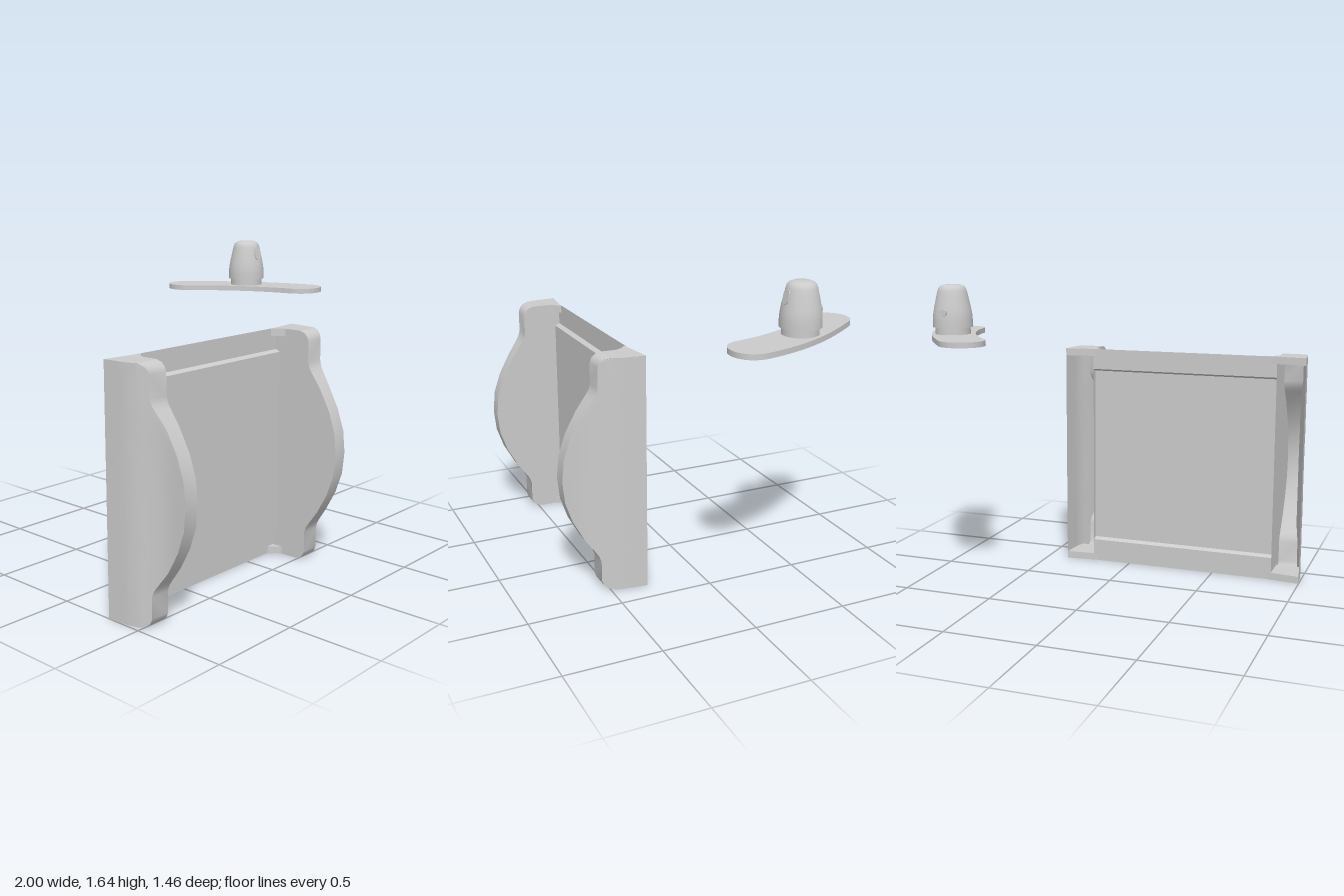
import * as THREE from 'three';
import { toCreasedNormals } from 'three/addons/utils/BufferGeometryUtils.js';

const CX = -0.31, H = 1.255;
const mat = new THREE.MeshStandardMaterial({ color: 0xcccccc });
const sheet = new THREE.MeshStandardMaterial({ color: 0xcccccc, side: THREE.DoubleSide });

// Piecewise-linear lookup in [key, value] pairs
function lerpTable(t, k) {
  for (let i = 1; i < t.length; i++) {
    if (k <= t[i][0]) {
      const [a, va] = t[i - 1], [b, vb] = t[i];
      return va + (vb - va) * Math.max(0, (k - a) / (b - a));
    }
  }
  return t[t.length - 1][1];
}

// Surface through rows of equally many points
function loft(rows) {
  const n = rows[0].length, idx = [];
  for (let i = 0; i < rows.length - 1; i++) {
    for (let j = 0; j < n - 1; j++) {
      const a = i * n + j, b = a + n;
      idx.push(a, b, a + 1, a + 1, b, b + 1);
    }
  }
  const g = new THREE.BufferGeometry();
  g.setAttribute('position', new THREE.Float32BufferAttribute(rows.flat(2), 3));
  g.setIndex(idx);
  return toCreasedNormals(g, 0.5);
}

// Flat plate in plan (shape y becomes z), from y0 up by h
function plate(shape, y0, h) {
  const g = new THREE.ExtrudeGeometry(shape, { depth: h, bevelEnabled: false, curveSegments: 16 });
  g.rotateX(Math.PI / 2).translate(0, y0 + h, 0);
  return toCreasedNormals(g, 0.5);
}

const polygon = (pts) => new THREE.Shape(pts.map(([x, y]) => new THREE.Vector2(x, y)));

// Front depth of a rail by height (lower half; the upper half mirrors it)
const depthByY = [[0, 0.48], [0.008, 0.51], [0.025, 0.53], [0.05, 0.54], [0.16, 0.54], [0.19, 0.55],
  [0.22, 0.57], [0.29, 0.62], [0.40, 0.68], [0.51, 0.718], [0.6275, 0.73]];
// Outer half-width of a rail by depth
const widthByZ = [[0.305, 0.69], [0.43, 0.677], [0.48, 0.663], [0.53, 0.64], [0.58, 0.621], [0.63, 0.61], [0.73, 0.61]];

// Hollow rail, open at the back
function rail(s) {
  const lower = depthByY;
  const upper = depthByY.slice(0, -1).reverse().map(([y, z]) => [H - y, z]);
  const rows = [...lower, ...upper].map(([y, zMax]) => {
    const row = [];
    for (let i = 0; i <= 12; i++) {
      const z = 0.305 + (zMax - 0.305) * i / 12;
      row.push([CX + s * lerpTable(widthByZ, z), y, z]);
    }
    row.push([CX + s * 0.53, y, zMax], [CX + s * 0.53, y, 0.327]);
    return row;
  });
  return loft(rows);
}

// Rail end plate with a corner tab reaching over the panel
function endCap(s, y0) {
  const pts = [[0.69, 0.305], [0.48, 0.33], [0.49, 0.345], [0.51, 0.36], [0.53, 0.39],
    [0.53, 0.48], [0.663, 0.48], [0.677, 0.43]];
  return plate(polygon(pts.map(([u, z]) => [CX + s * u, z])), y0, 0.04);
}

export function createModel() {
  const model = new THREE.Group();
  const add = (name, geo, m = mat, parent = model) => {
    const mesh = new THREE.Mesh(geo, m);
    mesh.name = name;
    parent.add(mesh);
    return mesh;
  };

  // Side rails and end caps
  for (const [side, s] of [['right', -1], ['left', 1]]) {
    add(side + 'Rail', rail(s), sheet);
    add(side + 'LowerCap', endCap(s, 0));
    add(side + 'UpperCap', endCap(s, H - 0.04));
  }

  // Pressed panel, its middle stepped forward between two crossbars
  const profile = [[0, 0.327], [0.125, 0.327], [0.137, 0.353], [1.128, 0.353], [1.14, 0.327], [H, 0.327]];
  add('panel', loft(profile.map(([y, z]) => [[CX - 0.53, y, z], [CX + 0.53, y, z]])), sheet);

  // Curved bracket plate
  const b = new THREE.Shape();
  b.moveTo(0.66, -0.675);
  b.bezierCurveTo(0.82, -0.47, 0.94, -0.29, 0.995, -0.02);
  b.bezierCurveTo(1.0, 0.06, 0.95, 0.105, 0.875, 0.105);
  b.bezierCurveTo(0.81, 0.105, 0.76, 0.06, 0.75, 0);
  b.bezierCurveTo(0.715, -0.2, 0.62, -0.38, 0.46, -0.55);
  b.bezierCurveTo(0.425, -0.61, 0.435, -0.69, 0.51, -0.725);
  b.bezierCurveTo(0.57, -0.745, 0.63, -0.72, 0.66, -0.675);
  add('bracketPlate', plate(b, 1.358, 0.028));

  // Knob on the bracket
  const knob = new THREE.Group();
  knob.name = 'knob';
  knob.position.set(0.76, 0, -0.333);
  model.add(knob);
  add('knobBase', new THREE.CylinderGeometry(0.092, 0.092, 0.05, 40).translate(0, 1.402, 0), mat, knob);
  const body = [[0, 1.422], [0.104, 1.422], [0.104, 1.46], [0.102, 1.49], [0.096, 1.525], [0.085, 1.575],
    [0.077, 1.61], [0.072, 1.625], [0.062, 1.636], [0.045, 1.643], [0, 1.645]];
  add('knobBody', toCreasedNormals(
    new THREE.LatheGeometry(body.map(([r, y]) => new THREE.Vector2(r, y)), 40), 0.7), mat, knob);

  // Oval inset on the knob front, leaning with its wall
  const oval = new THREE.Shape();
  oval.absarc(0, 0.014, 0.024, 0, Math.PI);
  oval.absarc(0, -0.014, 0.024, Math.PI, Math.PI * 2);
  const inset = add('knobInset', toCreasedNormals(
    new THREE.ExtrudeGeometry(oval, { depth: 0.02, bevelEnabled: false }), 0.5), mat, knob);
  inset.position.set(0, 1.569, 0.068);
  inset.rotation.x = -0.22;

  // Small peg at the back of the knob
  const peg = new THREE.CylinderGeometry(0.02, 0.02, 0.04, 20).rotateX(Math.PI / 2);
  add('knobPeg', peg.translate(0, 1.502, -0.09), mat, knob);

  return model;
}
